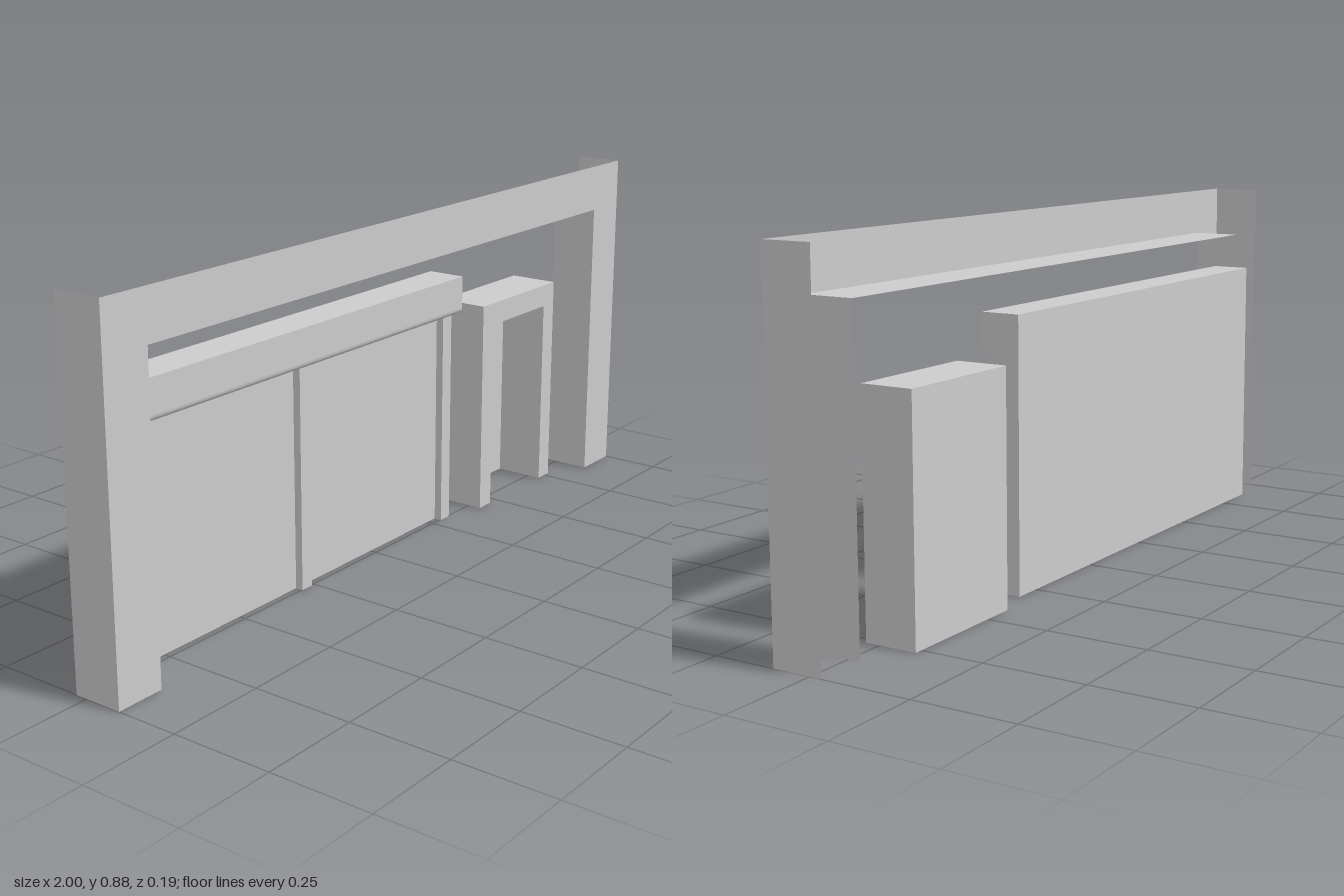
import * as THREE from 'three';

const V = (x, y, z) => new THREE.Vector3(x, y, z);
const material = new THREE.MeshStandardMaterial({
  color: 0xcccccc, side: THREE.DoubleSide, flatShading: true,
});

function add(parent, name, geometry) {
  const mesh = new THREE.Mesh(geometry, material);
  mesh.name = name;
  parent.add(mesh);
  return mesh;
}

function group(parent, name) {
  const g = new THREE.Group();
  g.name = name;
  parent.add(g);
  return g;
}

// Open path of points swept along one straight offset
function sweep(points, offset) {
  const pos = [];
  for (let i = 0; i + 1 < points.length; i++) {
    const a = points[i], b = points[i + 1];
    const c = b.clone().add(offset), d = a.clone().add(offset);
    for (const p of [a, b, c, a, c, d]) pos.push(p.x, p.y, p.z);
  }
  const g = new THREE.BufferGeometry();
  g.setAttribute('position', new THREE.Float32BufferAttribute(pos, 3));
  g.computeVertexNormals();
  return g;
}

const shape = (pts) => new THREE.Shape(pts.map(([x, y]) => new THREE.Vector2(x, y)));

// Flat upright panel facing the front (dir 1) or the back (dir -1)
function panel(pts, z, dir = 1) {
  const g = new THREE.ShapeGeometry(shape(pts.map(([x, y]) => [x * dir, y])));
  if (dir < 0) g.rotateY(Math.PI);
  return g.translate(0, 0, z);
}

const arch = (x0, x1, h) => [[x0, 0], [x0, h], [x1, h], [x1, 0]];
const path = (pts, z) => pts.map(([x, y]) => V(x, y, z));

// Surround outline with a doorway cut up from the ground
const surround = (outer, inner) => [...outer, ...[...inner].reverse()];

export function createModel() {
  const model = new THREE.Group();
  model.name = 'garageFront';

  // Outer frame: front face, end walls and opening reveal, open at top and bottom
  const frame = group(model, 'outerFrame');
  const fz = 0.095, fd = V(0, 0, -0.125);
  const fOuter = arch(-1, 1, 0.876), fInner = arch(-0.875, 0.875, 0.755);
  add(frame, 'frameFace', panel(surround(fOuter, fInner), fz));
  add(frame, 'frameReveal', sweep(path([...fInner].reverse(), fz), fd));
  add(frame, 'leftEndWall', sweep([V(1, 0.876, fz), V(1, 0, fz)], fd));
  add(frame, 'rightEndWall', sweep([V(-1, 0, fz), V(-1, 0.876, fz)], fd));

  // Side door: deep surround with the door leaf at the back
  const door = group(model, 'sideDoor');
  const dz = 0.036, db = -0.095, dd = V(0, 0, db - dz);
  const dOuter = arch(0.42, 0.77, 0.562), dInner = arch(0.47, 0.72, 0.503);
  const dFace = surround(dOuter, dInner);
  add(door, 'doorSurroundFace', panel(dFace, dz));
  add(door, 'doorSurroundBack', panel(dFace, db, -1));
  add(door, 'doorSurroundSides', sweep(path(dOuter, dz), dd));
  add(door, 'doorReveal', sweep(path([...dInner].reverse(), dz), dd));
  add(door, 'doorLeaf', panel(dInner, db));

  // Garage bay: header with a rounded lower lip above posts and panels
  const bay = group(model, 'garageBay');
  const x0 = -0.875, x1 = 0.32, top = 0.662, low = 0.563;
  const back = -0.063, front = 0.036, postZ = 0.003, panelZ = -0.017, r = 0.017;
  const lip = [];
  for (let i = 0; i <= 6; i++) {
    const a = (i / 6) * Math.PI / 2;
    lip.push([front - r + r * Math.cos(a), low + r - r * Math.sin(a)]);
  }
  const header = [[back, top], [front, top], ...lip, [panelZ, low]];
  add(bay, 'garageHeader', sweep(header.map(([z, y]) => V(x0, y, z)), V(x1 - x0, 0, 0)));

  // End walls follow the header profile and the post depth
  const profile = [[back, 0], ...header.slice(0, -1), [postZ, low], [postZ, 0]];
  for (const side of [-1, 1]) {
    const g = new THREE.ShapeGeometry(shape(profile.map(([z, y]) => [-side * z, y])));
    g.rotateY(side * Math.PI / 2).translate(side > 0 ? x1 : x0, 0, 0);
    add(bay, side > 0 ? 'bayLeftEnd' : 'bayRightEnd', g);
  }
  add(bay, 'bayBack', panel(arch(x0, x1, top), back, -1));

  // Posts and the door panels between them
  const posts = [[x0, -0.838], [-0.295, -0.26], [0.283, x1]];
  posts.forEach(([a, b], i) => {
    const pts = [V(a, 0, panelZ), V(a, 0, postZ), V(b, 0, postZ), V(b, 0, panelZ)];
    // the end walls already close the outer sides
    add(bay, 'post', sweep(pts.slice(i === 0 ? 1 : 0, i === 2 ? 3 : 4), V(0, low, 0)));
    if (i < 2) add(bay, 'garageDoorPanel', panel(arch(b, posts[i + 1][0], low), panelZ));
  });

  return model;
}
